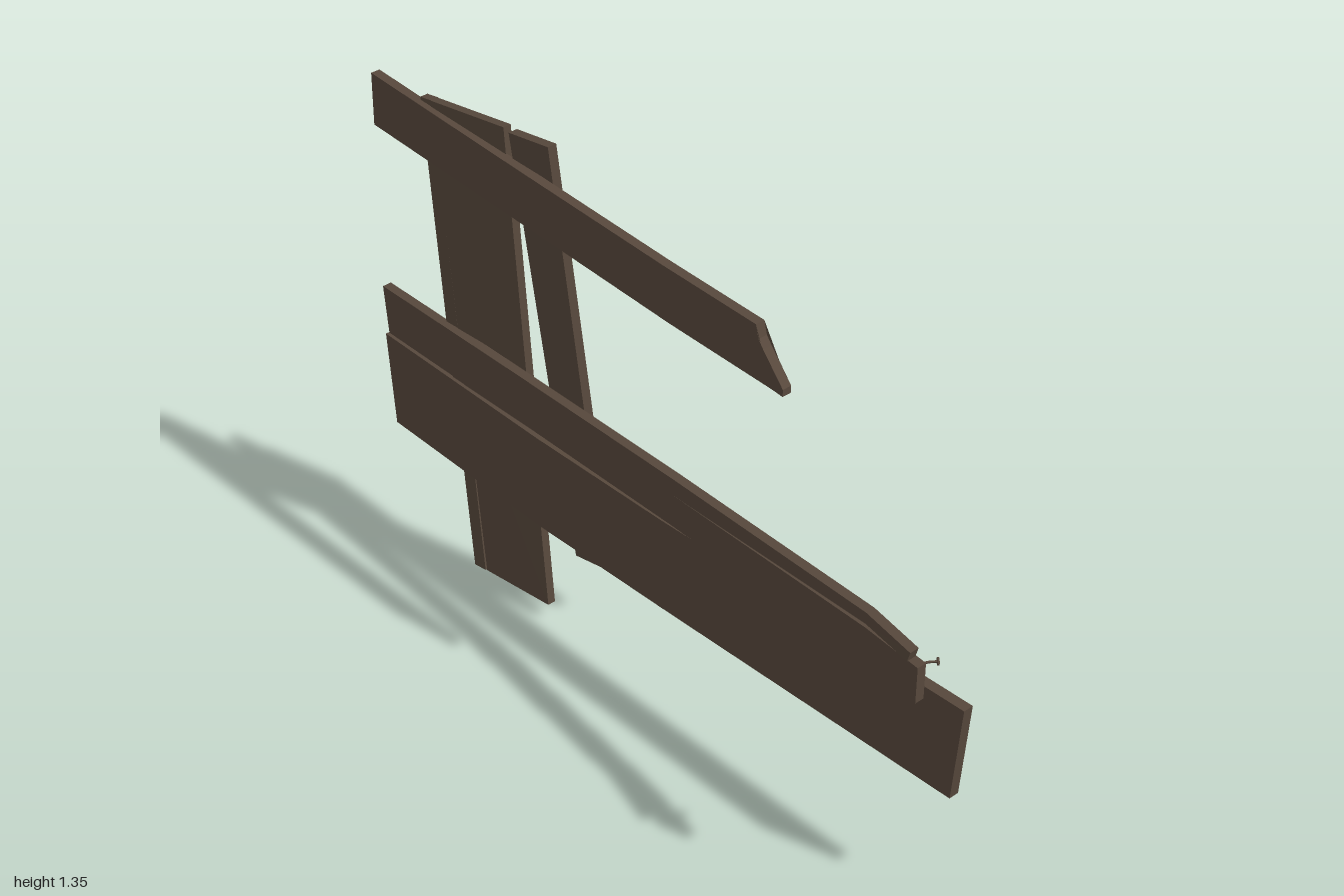
import * as THREE from 'three';

const wood = new THREE.MeshStandardMaterial({ color: 0x57483c });
wood.name = 'weathered wood';
wood.flatShading = true;

// Lofts a bent board. Each row is one cut across it: [ax, ay, bx, by, front z at a, front z at b].
// Looking at the front, b lies to the left of a when travelling along the rows.
function board(name, rows, thickness) {
  const pos = [];
  const quad = (p, q, r, s) => pos.push(...p, ...q, ...r, ...p, ...r, ...s);
  const rings = rows.map(([ax, ay, bx, by, za, zb = za]) => [
    [ax, ay, za], [bx, by, zb], [bx, by, zb - thickness], [ax, ay, za - thickness],
  ]);
  for (let i = 0; i < rings.length - 1; i++) {
    const m = rings[i], n = rings[i + 1];
    for (let k = 0; k < 4; k++) {
      const j = (k + 1) % 4;
      quad(m[k], n[k], n[j], m[j]);
    }
  }
  const first = rings[0], last = rings[rings.length - 1];
  quad(first[0], first[1], first[2], first[3]);
  quad(last[3], last[2], last[1], last[0]);
  const geometry = new THREE.BufferGeometry();
  geometry.setAttribute('position', new THREE.Float32BufferAttribute(pos, 3));
  geometry.computeVertexNormals();
  const mesh = new THREE.Mesh(geometry, wood);
  mesh.name = name;
  return mesh;
}

// Short bent nail sticking out behind the split end
function bentNail() {
  const nail = new THREE.Group();
  nail.name = 'bentNail';
  const path = new THREE.CatmullRomCurve3([
    new THREE.Vector3(0.955, 0.735, 0.12),
    new THREE.Vector3(0.957, 0.735, 0.098),
    new THREE.Vector3(0.966, 0.737, 0.082),
    new THREE.Vector3(0.977, 0.737, 0.068),
  ]);
  const shank = new THREE.Mesh(new THREE.TubeGeometry(path, 6, 0.003, 5), wood);
  shank.name = 'nailShank';
  const head = new THREE.Mesh(new THREE.CylinderGeometry(0.009, 0.009, 0.004, 8), wood);
  head.name = 'nailHead';
  head.position.copy(path.getPoint(1));
  head.quaternion.setFromUnitVectors(new THREE.Vector3(0, 1, 0), path.getTangent(1));
  nail.add(shank, head);
  return nail;
}

export function createModel() {
  const model = new THREE.Group();
  model.name = 'brokenFence';

  // Upper rail with its snapped end
  model.add(board('upperRail', [
    [-1, 1.15, -1, 1.29, -0.034],
    [-0.45, 1.125, -0.45, 1.263, -0.022],
    [0.07, 1.1, 0.05, 1.24, -0.012],
    [0.40, 1.092, 0.345, 1.232, -0.006],
    [0.432, 1.09, 0.355, 1.2, -0.005],
    [0.432, 1.108, 0.37, 1.18, -0.005],
  ], 0.025));

  // Middle rail, bowed forward and split lengthwise at its free end
  model.add(board('middleRail', [
    [-0.985, 0.56, -1, 0.692, -0.03],
    [-0.45, 0.578, -0.45, 0.711, -0.002],
    [0.13, 0.6, 0.13, 0.732, 0.032],
  ], 0.025));
  model.add(board('middleRailUpperSplit', [
    [0.13, 0.687, 0.13, 0.732, 0.032],
    [0.8, 0.749, 0.8, 0.779, 0.101],
    [0.955, 0.764, 0.962, 0.79, 0.14],
  ], 0.025));
  model.add(board('middleRailLowerSplit', [
    [0.13, 0.6, 0.13, 0.687, 0.032],
    [0.8, 0.647, 0.8, 0.739, 0.101],
    [0.978, 0.66, 0.978, 0.755, 0.132],
  ], 0.025));
  model.add(bentNail());

  // Wide lower rail
  model.add(board('lowerRail', [
    [-0.975, 0.29, -1, 0.55, -0.03],
    [-0.4, 0.28, -0.4, 0.543, -0.018],
    [0.05, 0.293, 0.05, 0.55, -0.009],
    [0.98, 0.315, 1, 0.575, -0.002],
  ], 0.027));

  // Wide post board, cracked along its left edge from the foot up
  model.add(board('widePost', [
    [-0.375, 0.045, -0.622, 0.01, -0.02, -0.026],
    [-0.44, 0.57, -0.694, 0.57, -0.033],
    [-0.524, 1.333, -0.79, 1.295, -0.046],
  ], 0.022));
  model.add(board('widePostStrip', [
    [-0.63, 0.006, -0.672, 0, -0.027],
    [-0.696, 0.57, -0.74, 0.565, -0.034],
    [-0.791, 1.295, -0.83, 1.289, -0.047],
  ], 0.022));

  // Narrow post board leaning back at its foot
  model.add(board('narrowPost', [
    [-0.257, 0.177, -0.37, 0.157, -0.11],
    [-0.363, 1.35, -0.5, 1.331, -0.041],
  ], 0.025));

  return model;
}
